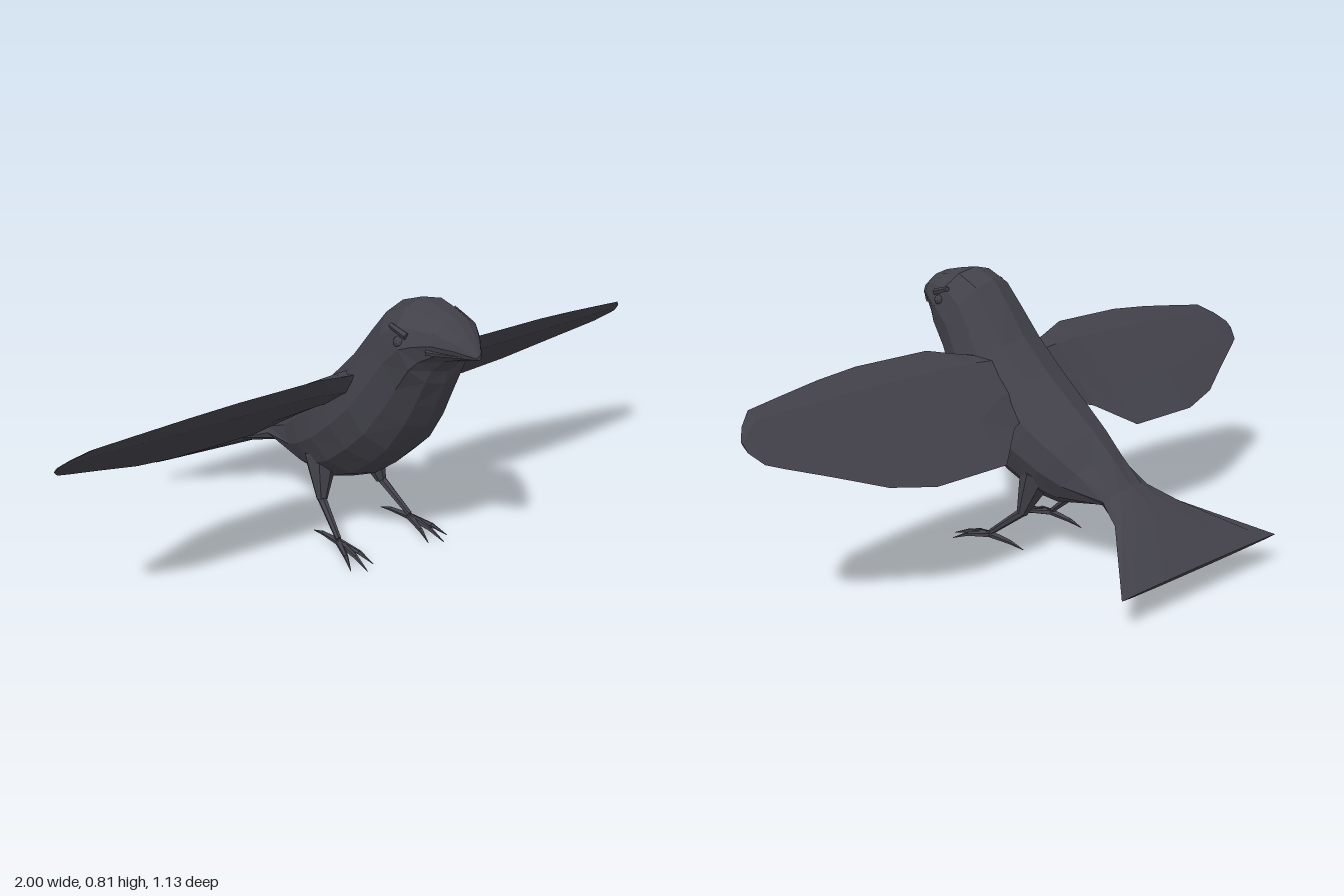
import * as THREE from 'three';

const plumage = new THREE.MeshStandardMaterial({ color: 0x42414a, flatShading: true });
plumage.name = 'charcoal plumage';

// Closed loft through rings of [x, y, z] points
function loft(rings) {
  const n = rings[0].length, index = [], last = (rings.length - 1) * n;
  for (let s = 0; s < rings.length - 1; s++) {
    for (let k = 0; k < n; k++) {
      const a = s * n + k, b = s * n + (k + 1) % n;
      index.push(a, b, b + n, a, b + n, a + n);
    }
  }
  for (let k = 1; k < n - 1; k++) {
    index.push(0, k + 1, k, last, last + k, last + k + 1);
  }
  const g = new THREE.BufferGeometry();
  g.setAttribute('position', new THREE.Float32BufferAttribute(rings.flat(2), 3));
  g.setIndex(index);
  g.computeVertexNormals();
  return g;
}

function add(parent, geometry, name) {
  const mesh = new THREE.Mesh(geometry, plumage);
  mesh.name = name;
  parent.add(mesh);
  return mesh;
}

// Tapered limb segment between two points
function limb(parent, from, to, r0, r1, name, sides = 6) {
  const a = new THREE.Vector3(...from), b = new THREE.Vector3(...to);
  const mesh = add(parent, new THREE.CylinderGeometry(r1, r0, a.distanceTo(b), sides), name);
  mesh.position.copy(a).add(b).multiplyScalar(0.5);
  mesh.quaternion.setFromUnitVectors(new THREE.Vector3(0, 1, 0), b.sub(a).normalize());
}

// Body sections from beak to tail: top z, top y, bottom z, bottom y, half width
const bodySections = [
  [0.565, 0.706, 0.565, 0.695, 0.008],
  [0.52, 0.75, 0.52, 0.684, 0.048],
  [0.465, 0.785, 0.475, 0.665, 0.085],
  [0.40, 0.799, 0.445, 0.63, 0.11],
  [0.335, 0.81, 0.435, 0.59, 0.125],
  [0.255, 0.78, 0.40, 0.51, 0.13],
  [0.20, 0.715, 0.365, 0.44, 0.142],
  [0.13, 0.625, 0.30, 0.345, 0.16],
  [0.03, 0.53, 0.235, 0.285, 0.165],
  [-0.07, 0.45, 0.14, 0.215, 0.157],
  [-0.15, 0.39, 0.03, 0.165, 0.138],
  [-0.22, 0.33, -0.05, 0.155, 0.115],
  [-0.30, 0.255, -0.25, 0.195, 0.095],
  [-0.38, 0.207, -0.35, 0.172, 0.145],
  [-0.565, 0.091, -0.56, 0.08, 0.34],
];

function bodyGeometry() {
  return loft(bodySections.map(([tz, ty, bz, by, w]) =>
    Array.from({ length: 12 }, (_, k) => {
      const a = k / 12 * Math.PI * 2, c = Math.cos(a);
      return [w * Math.sin(a), (ty + by) / 2 + c * (ty - by) / 2, (tz + bz) / 2 + c * (tz - bz) / 2];
    })));
}

// Wing stations: x, leading z, trailing z, half thickness
const wingStations = [
  [0.08, 0.20, 0.03, 0.035],
  [0.17, 0.22, 0.0, 0.028],
  [0.28, 0.25, -0.08, 0.02],
  [0.54, 0.25, -0.08, 0.017],
  [0.68, 0.238, -0.05, 0.014],
  [0.82, 0.22, 0.01, 0.011],
  [0.93, 0.205, 0.055, 0.008],
  [0.975, 0.17, 0.075, 0.005],
  [1.0, 0.138, 0.11, 0.002],
];

function wingGeometry(side) {
  return loft(wingStations.map(([x, lead, trail, t]) => {
    // chord fraction and thickness around the section
    const ring = [[0.65, 0.6], [0.2, 1], [0, 0], [0.2, -1], [0.65, -0.6], [1, 0]].map(([f, h]) => {
      const z = lead + (trail - lead) * f;
      return [side * x, 0.605 + (z - 0.245) * 0.83 + h * t * 0.77, z - h * t * 0.64];
    });
    return side > 0 ? ring : ring.reverse();
  }));
}

function addLeg(parent, s) {
  const leg = new THREE.Group();
  leg.name = s > 0 ? 'leftLeg' : 'rightLeg';
  parent.add(leg);
  const ankle = [s * 0.135, 0.04, 0.14];
  limb(leg, [s * 0.085, 0.25, -0.01], [s * 0.113, 0.12, 0.03], 0.055, 0.016, 'thigh', 7);
  limb(leg, [s * 0.112, 0.128, 0.024], ankle, 0.014, 0.009, 'shank');
  // Three toes forward and one back, each with a claw
  [[0.105, 0.265], [0.145, 0.29], [0.182, 0.26], [0.128, 0.01]].forEach(([x, z], i) => {
    const back = i === 3;
    const mid = [s * (0.135 + (x - 0.135) * 0.6), back ? 0.026 : 0.022, 0.14 + (z - 0.14) * 0.6];
    limb(leg, [ankle[0], 0.032, 0.14], mid, 0.011, 0.007, 'toe', 5);
    limb(leg, mid, [s * x, back ? 0.014 : 0.002, z], 0.007, 0.001, 'claw', 5);
  });
}

export function createModel() {
  const bird = new THREE.Group();
  bird.name = 'bird';
  add(bird, bodyGeometry(), 'bodyAndTail');
  for (const s of [1, -1]) {
    const label = s > 0 ? 'left' : 'right';
    add(bird, wingGeometry(s), label + 'Wing');
    addLeg(bird, s);
    // Eye under a small brow
    const eye = add(bird, new THREE.IcosahedronGeometry(0.016, 1), label + 'Eye');
    eye.position.set(s * 0.113, 0.718, 0.375);
    limb(bird, [s * 0.108, 0.738, 0.40], [s * 0.113, 0.755, 0.34], 0.01, 0.008, label + 'Brow', 5);
    // Gape line along the side of the beak
    limb(bird, [s * 0.088, 0.705, 0.455], [s * 0.008, 0.699, 0.558], 0.009, 0.003, label + 'BeakEdge', 5);
  }
  return bird;
}
